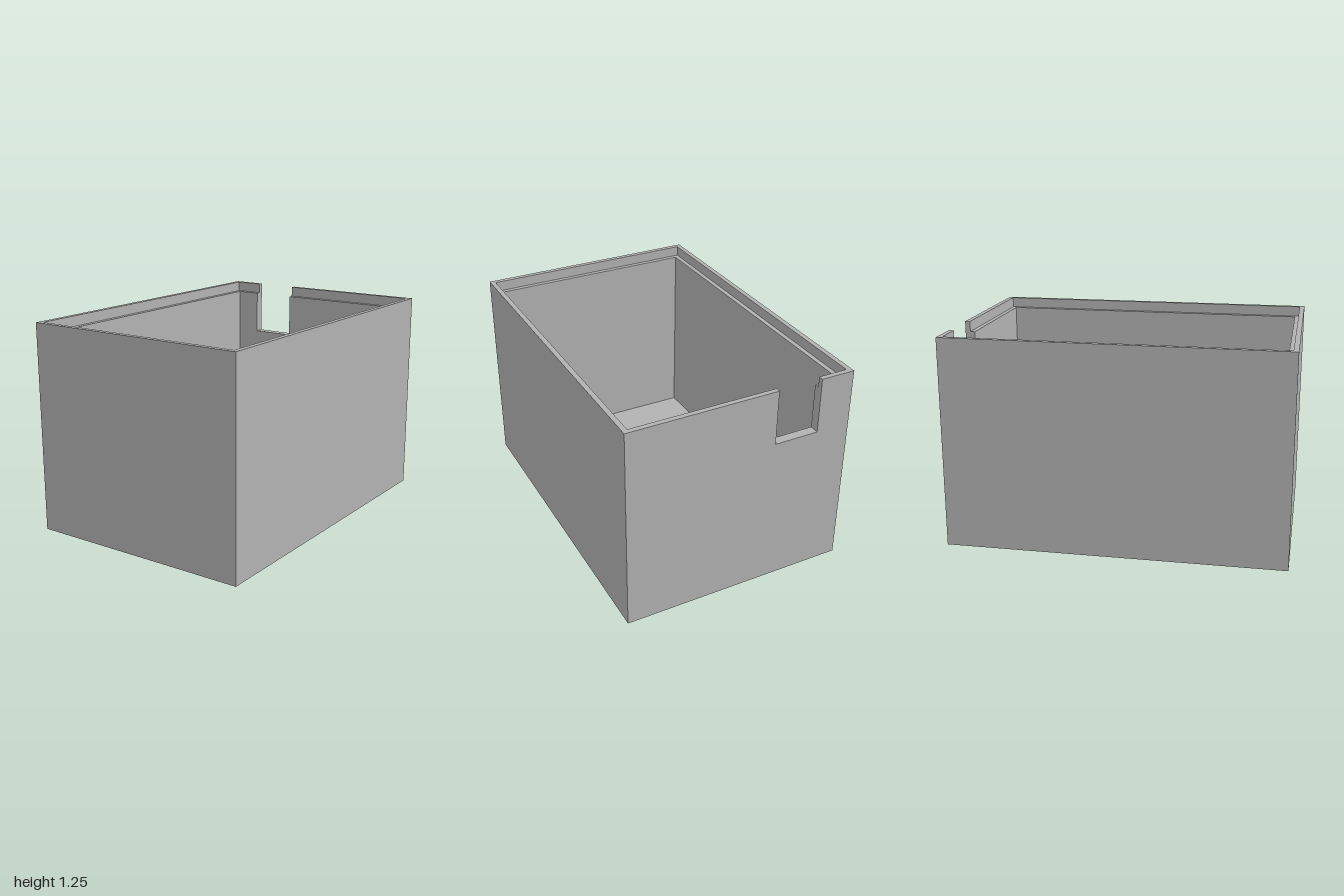
import * as THREE from 'three';

const W = 0.687, D = 1;               // outer half width and half depth
const H = 1.25, FLOOR = 0.058;        // total height, floor thickness
const WALL = 0.058, LIP = 0.03;       // wall and rim lip thickness
const LEDGE = 1.188, SILL = 0.917;    // heights of the ledge and notch sill
const NOTCH = [-0.48, -0.21];         // notch extent in x, on the back wall

const rect = (w, d) => [[-w, -d], [w, -d], [w, d], [-w, d]].map(p => new THREE.Vector2(...p));

// closed ring of wall, plan y points to the back
function ring(t) {
  const shape = new THREE.Shape(rect(W, D));
  shape.holes.push(new THREE.Path(rect(W - t, D - t)));
  return shape;
}

// ring of wall interrupted by the notch in the back
function openRing(t) {
  const w = W - t, d = D - t, [a, b] = NOTCH;
  return new THREE.Shape([
    [a, D], [-W, D], [-W, -D], [W, -D], [W, D], [b, D],
    [b, d], [w, d], [w, -d], [-w, -d], [-w, d], [a, d],
  ].map(p => new THREE.Vector2(...p)));
}

export function createModel() {
  const group = new THREE.Group();
  group.name = 'openBox';
  const grey = new THREE.MeshStandardMaterial({ color: 0xb2b2b2 });
  grey.name = 'grey';

  // extrude a plan upward between two heights
  const layer = (name, shape, y0, y1) => {
    const geo = new THREE.ExtrudeGeometry(shape, { depth: y1 - y0, bevelEnabled: false });
    geo.rotateX(-Math.PI / 2).translate(0, y0, 0);
    const mesh = new THREE.Mesh(geo, grey);
    mesh.name = name;
    group.add(mesh);
  };

  layer('floor', new THREE.Shape(rect(W, D)), 0, FLOOR);
  layer('lowerWalls', ring(WALL), FLOOR, SILL);
  layer('notchedWalls', openRing(WALL), SILL, LEDGE);
  layer('rimLip', openRing(LIP), LEDGE, H);
  return group;
}
